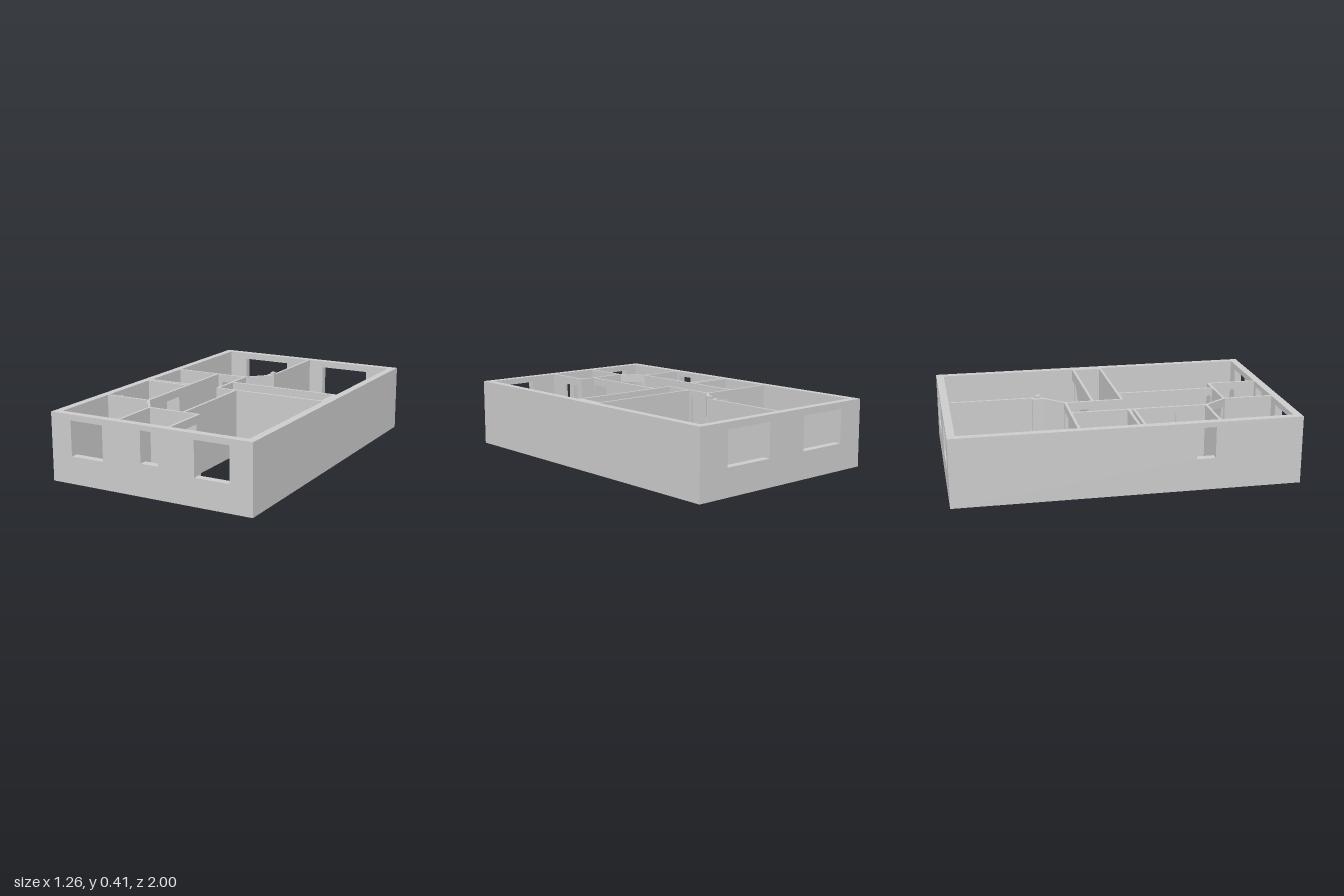
import * as THREE from 'three';

const H = 0.4, T = 0.016, OUTER = 0.046, DOOR_TOP = 0.352;
const material = new THREE.MeshStandardMaterial({ color: 0xcccccc, flatShading: true });

// Upright slab with a given elevation outline, running from (x1, z1) to (x2, z2)
function slab(name, [x1, z1, x2, z2], outline, holes = [], t = T) {
  const shape = new THREE.Shape(outline.map(p => new THREE.Vector2(...p)));
  for (const [a, b, y0, y1] of holes) {
    shape.holes.push(new THREE.Path([[a, y0], [a, y1], [b, y1], [b, y0]].map(p => new THREE.Vector2(...p))));
  }
  const geometry = new THREE.ExtrudeGeometry(shape, { depth: t, bevelEnabled: false });
  geometry.translate(0, 0, -t / 2);
  const mesh = new THREE.Mesh(geometry, material);
  mesh.name = name;
  mesh.position.set(x1, 0, z1);
  mesh.rotation.y = Math.atan2(z1 - z2, x2 - x1);
  return mesh;
}

// Wall with an optional doorway (start and end distance along the wall) and windows
function wall(name, line, { door, windows, t } = {}) {
  const length = Math.hypot(line[2] - line[0], line[3] - line[1]);
  const outline = [[0, 0]];
  if (door) outline.push([door[0], 0], [door[0], DOOR_TOP], [door[1], DOOR_TOP], [door[1], 0]);
  outline.push([length, 0], [length, H], [0, H]);
  return slab(name, line, outline, windows, t);
}

function block(name, x0, x1, y0, y1, z0, z1) {
  const mesh = new THREE.Mesh(new THREE.BoxGeometry(x1 - x0, y1 - y0, z1 - z0), material);
  mesh.name = name;
  mesh.position.set((x0 + x1) / 2, (y0 + y1) / 2, (z0 + z1) / 2);
  return mesh;
}

export function createModel() {
  const model = new THREE.Group();
  model.name = 'floorPlan';

  // Outer shell with windows
  const X = 0.632, o = OUTER / 2, xi = X - OUTER;
  const shell = new THREE.Group();
  shell.name = 'outerWalls';
  shell.add(
    wall('frontWall', [-xi, 1 - o, xi, 1 - o], {
      t: OUTER,
      windows: [[-0.5, -0.29, 0.16, 0.365], [-0.045, 0.067, 0.187, 0.37], [0.287, 0.497, 0.16, 0.365]]
        .map(([a, b, c, d]) => [a + xi, b + xi, c, d]),
    }),
    wall('backWall', [-xi, o - 1, xi, o - 1], {
      t: OUTER,
      windows: [[-0.465, -0.15, 0.16, 0.36], [0.12, 0.435, 0.16, 0.36]]
        .map(([a, b, c, d]) => [a + xi, b + xi, c, d]),
    }),
    wall('rightWall', [o - X, -1, o - X, 1], { t: OUTER, windows: [[1.38, 1.49, 0.187, 0.37]] }),
    wall('leftWall', [X - o, -1, X - o, 1], { t: OUTER }),
  );
  model.add(shell);

  // Room partitions
  const rooms = new THREE.Group();
  rooms.name = 'partitions';
  rooms.add(
    wall('backRoomDivider', [0.016, -0.955, 0.016, -0.42]),
    wall('backDiagonalWall', [0.014, -0.415, -0.111, -0.281]),
    wall('backRoomWall', [-xi, -0.28, -0.103, -0.28], { door: [0.316, 0.444] }),
    wall('landingWall', [-0.111, -0.288, -0.111, 0.067], { door: [0.035, 0.145] }),
    wall('hallSideWall', [-0.307, -0.288, -0.307, 0.525], { door: [0.49, 0.625] }),
    wall('storeBackWall', [-xi, 0.058, -0.307, 0.058]),
    wall('storeFrontWall', [-xi, 0.09, -0.307, 0.09]),
    wall('bathFrontWall', [-xi, 0.522, -0.303, 0.522]),
    wall('frontDiagonalWall', [-0.309, 0.52, -0.209, 0.662], { door: [0.02, 0.155] }),
    wall('frontRoomSideWall', [-0.209, 0.655, -0.209, 0.955]),
    wall('hallEndWall', [-0.217, 0.658, 0.119, 0.658]),
    wall('washRoomWall', [0.111, 0.65, 0.111, 0.955], { door: [0.045, 0.175] }),
    wall('livingRoomWall', [0.013, 0.058, 0.013, 0.658], { door: [0.46, 0.585] }),
    wall('stairFrontWall', [-0.119, 0.059, xi, 0.059]),
  );
  model.add(rooms);

  // Stairwell: wall sloping up over the flight, with a lining at its end
  model.add(
    slab('stairBackWall', [-0.111, -0.118, xi, -0.118],
      [[0, 0], [0.21, 0], [0.55, 0.33], [xi + 0.111, 0.33], [xi + 0.111, H], [0, H]]),
    block('stairEndLining', 0.567, xi + 0.002, 0, H, -0.11, 0.055),
  );

  // Jamb and raised cap beside the back diagonal wall
  model.add(
    block('jamb', -0.018, 0.002, 0, H, -0.463, -0.395),
    block('jambReturn', -0.018, 0.016, 0, H, -0.463, -0.447),
    block('jambCap', 0, 0.026, H - 0.005, 0.415, -0.445, -0.415),
  );
  return model;
}
